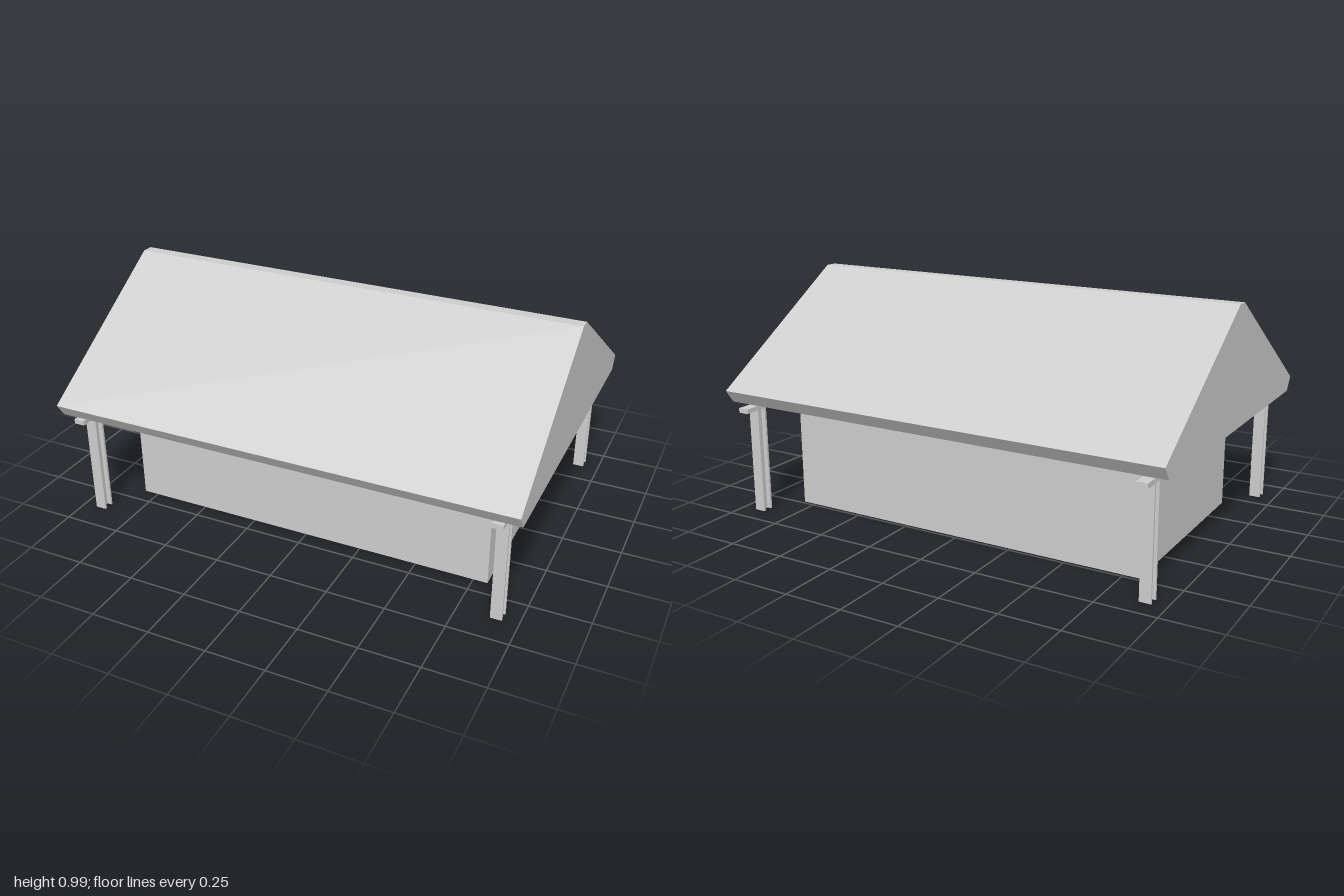
import * as THREE from 'three';

export function createModel() {
  const model = new THREE.Group();
  const grey = new THREE.MeshStandardMaterial({ color: 0xcccccc, side: THREE.DoubleSide });
  grey.name = 'plain grey';

  const add = (parent, name, geometry, x = 0, y = 0, z = 0, turn = 0) => {
    const mesh = new THREE.Mesh(geometry, grey);
    mesh.name = name;
    mesh.position.set(x, y, z);
    mesh.rotation.y = turn;
    parent.add(mesh);
  };

  // Solid gable roof: a profile in z and y, extruded along x
  const gable = new THREE.Shape([
    [0.73, 0.54], [0.025, 0.99], [-0.025, 0.99], [-0.73, 0.545],
    [-0.69, 0.489], [-0.5, 0.487], [0.69, 0.482],
  ].map(([z, y]) => new THREE.Vector2(z, y)));
  const roof = new THREE.ExtrudeGeometry(gable, { depth: 2, bevelEnabled: false });
  roof.rotateY(-Math.PI / 2).translate(1, 0, 0);
  add(model, 'roof', roof);

  // Thin walls, open below
  const walls = new THREE.Group();
  walls.name = 'walls';
  model.add(walls);
  const [x0, x1, z0, z1, top] = [-0.815, 0.81, -0.485, 0.43, 0.485];
  const cx = (x0 + x1) / 2, cz = (z0 + z1) / 2;
  const longWall = new THREE.PlaneGeometry(x1 - x0, top);
  const endWall = new THREE.PlaneGeometry(z1 - z0, top);
  add(walls, 'frontWall', longWall, cx, top / 2, z1);
  add(walls, 'backWall', longWall, cx, top / 2, z0, Math.PI);
  add(walls, 'leftWall', endWall, x1, top / 2, cz, Math.PI / 2);
  add(walls, 'rightWall', endWall, x0, top / 2, cz, -Math.PI / 2);

  // H-section post with flanges facing front and back
  const addPost = (name, x, z, height) => {
    const post = new THREE.Group();
    post.name = name;
    post.position.set(x, height / 2, z);
    const flange = new THREE.BoxGeometry(0.048, height, 0.009);
    add(post, 'flange', flange, 0, 0, 0.0205);
    add(post, 'flange', flange, 0, 0, -0.0205);
    add(post, 'web', new THREE.BoxGeometry(0.009, height, 0.032));
    model.add(post);
  };

  // Posts and the beam across them at each end
  for (const [side, x] of [['left', 0.91], ['right', -0.915]]) {
    addPost(side + 'FrontPost', x, 0.605, 0.465);
    addPost(side + 'BackPost', x, -0.64, 0.487);
    add(model, side + 'Beam', new THREE.BoxGeometry(0.046, 0.02, 1.43), x, 0.468, -0.012);
  }
  return model;
}
